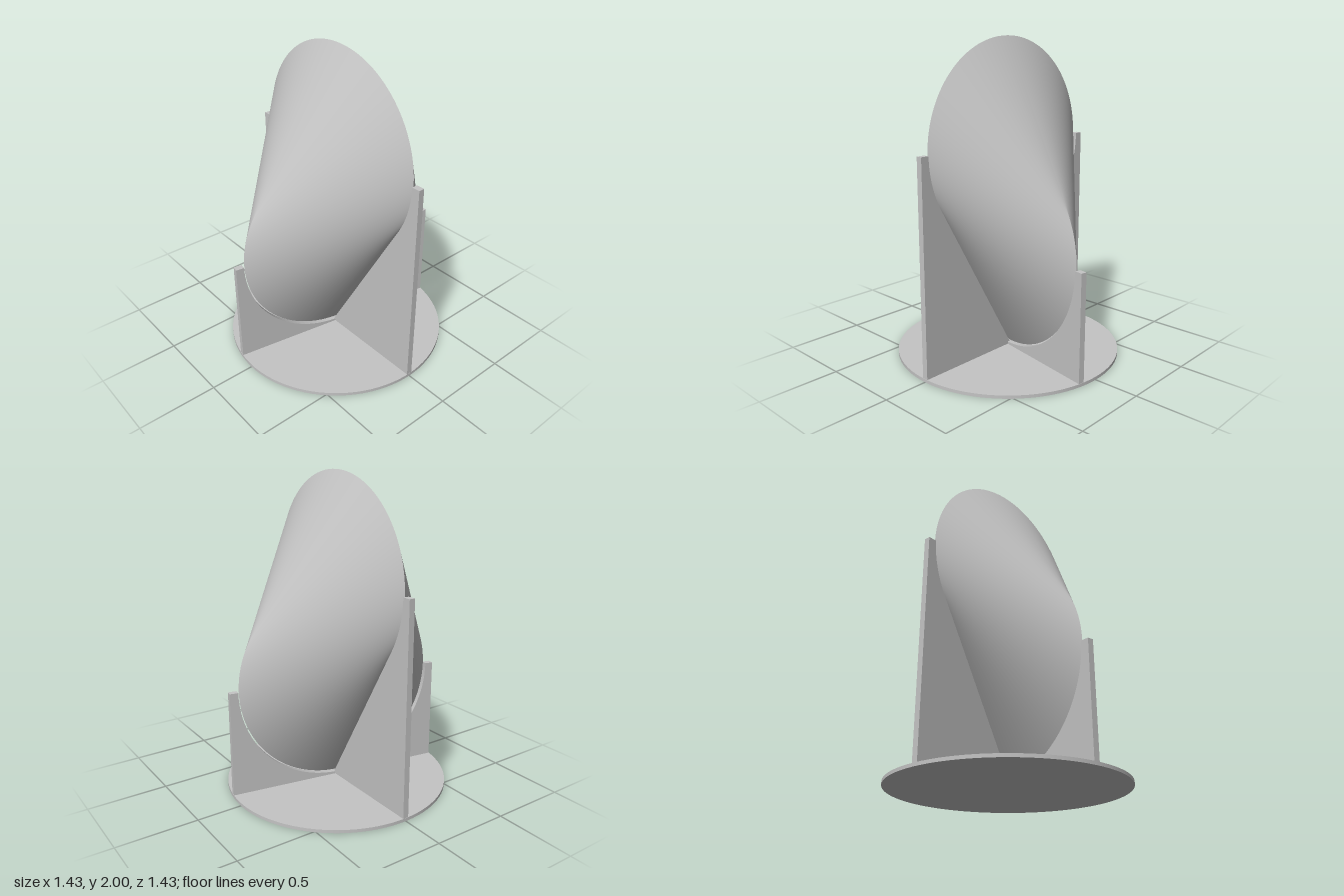
import * as THREE from 'three';

const R = 0.652;              // radius of both generating circles
const UPPER = 2 - R;          // height of the upper circle's centre
const LOWER = UPPER - R;      // each circle passes through the other's centre
const TWIST = THREE.MathUtils.degToRad(80);
const BASE_R = 0.716, BASE_H = 0.02, FIN_T = 0.038, GAP = 0.009;

// One developable patch: straight rulings from the upper circle to the lower one
function hullPatch(sideA, sideB, steps = 64) {
  const pos = [], nor = [], index = [];
  const centre = new THREE.Vector3(0, (UPPER + LOWER) / 2, 0);
  let flip = false;
  for (let i = 0; i <= steps; i++) {
    const s = 1 - i / steps;
    const a = (2 * Math.PI / 3) * (1 - s * s);
    // tangents at both ends of a ruling meet on the vertical axis
    const cosB = Math.max(-1, Math.cos(a) / (1 + Math.cos(a)));
    const b = Math.acos(cosB);
    const h = sideB * R * Math.sin(b);
    const A = new THREE.Vector3(sideA * R * Math.sin(a), UPPER + R * Math.cos(a), 0);
    const B = new THREE.Vector3(h * Math.cos(TWIST), LOWER + R * cosB, -h * Math.sin(TWIST));
    const n = new THREE.Vector3(sideA * Math.cos(a), -Math.sin(a), 0)
      .cross(B.clone().sub(A)).normalize();
    if (i === 0) flip = n.dot(A.clone().sub(centre)) < 0;
    if (flip) n.negate();
    pos.push(...A.toArray(), ...B.toArray());
    nor.push(...n.toArray(), ...n.toArray());
    if (i < steps) {
      const k = 2 * i;
      if (flip) index.push(k, k + 1, k + 2, k + 2, k + 1, k + 3);
      else index.push(k, k + 2, k + 1, k + 2, k + 3, k + 1);
    }
  }
  const g = new THREE.BufferGeometry();
  g.setAttribute('position', new THREE.Float32BufferAttribute(pos, 3));
  g.setAttribute('normal', new THREE.Float32BufferAttribute(nor, 3));
  g.setIndex(index);
  return g;
}

// Upright plate whose top edge cradles the solid; arcEnd is measured from straight up
function finGeometry(centreY, arcEnd, tipY) {
  const r = R + GAP, steps = 32, edge = [];
  for (let i = 0; i <= steps; i++) {
    const a = Math.PI / 2 + (arcEnd - Math.PI / 2) * i / steps;
    edge.push(new THREE.Vector2(r * Math.sin(a), centreY + r * Math.cos(a)));
  }
  const w = BASE_R - 0.002;
  const mirrored = edge.map(p => new THREE.Vector2(-p.x, p.y)).reverse();
  const right = edge.filter(p => p.x > 1e-4), left = mirrored.filter(p => p.x < -1e-4);
  const shape = new THREE.Shape([
    new THREE.Vector2(-w, BASE_H / 2), new THREE.Vector2(w, BASE_H / 2),
    new THREE.Vector2(w, centreY), ...right,
    new THREE.Vector2(0, tipY), ...left, new THREE.Vector2(-w, centreY),
  ]);
  const g = new THREE.ExtrudeGeometry(shape, { depth: FIN_T, bevelEnabled: false });
  g.translate(0, 0, -FIN_T / 2);
  return g;
}

export function createModel() {
  const model = new THREE.Group();
  model.name = 'solidOnStand';
  const grey = new THREE.MeshStandardMaterial({ color: 0xc4c4c4 });
  grey.name = 'light grey';

  const add = (parent, name, geometry) => {
    const mesh = new THREE.Mesh(geometry, grey);
    mesh.name = name;
    parent.add(mesh);
    return mesh;
  };

  // Twisted two-circle solid
  const solid = new THREE.Group();
  solid.name = 'twoCircleSolid';
  for (const a of [-1, 1]) for (const b of [-1, 1]) {
    add(solid, `${a > 0 ? 'left' : 'right'}${b > 0 ? 'Back' : 'Front'}Surface`, hullPatch(a, b));
  }
  model.add(solid);

  // Stand: round base and two crossing fins
  const stand = new THREE.Group();
  stand.name = 'stand';
  const base = add(stand, 'baseDisc', new THREE.CylinderGeometry(BASE_R, BASE_R, BASE_H, 96));
  base.position.y = BASE_H / 2;
  add(stand, 'tallFin', finGeometry(UPPER, 2 * Math.PI / 3, UPPER - 2 * (R + GAP)));
  const lowFin = add(stand, 'lowFin', finGeometry(LOWER, Math.PI, LOWER - R - GAP));
  lowFin.rotation.y = TWIST;
  model.add(stand);

  return model;
}
